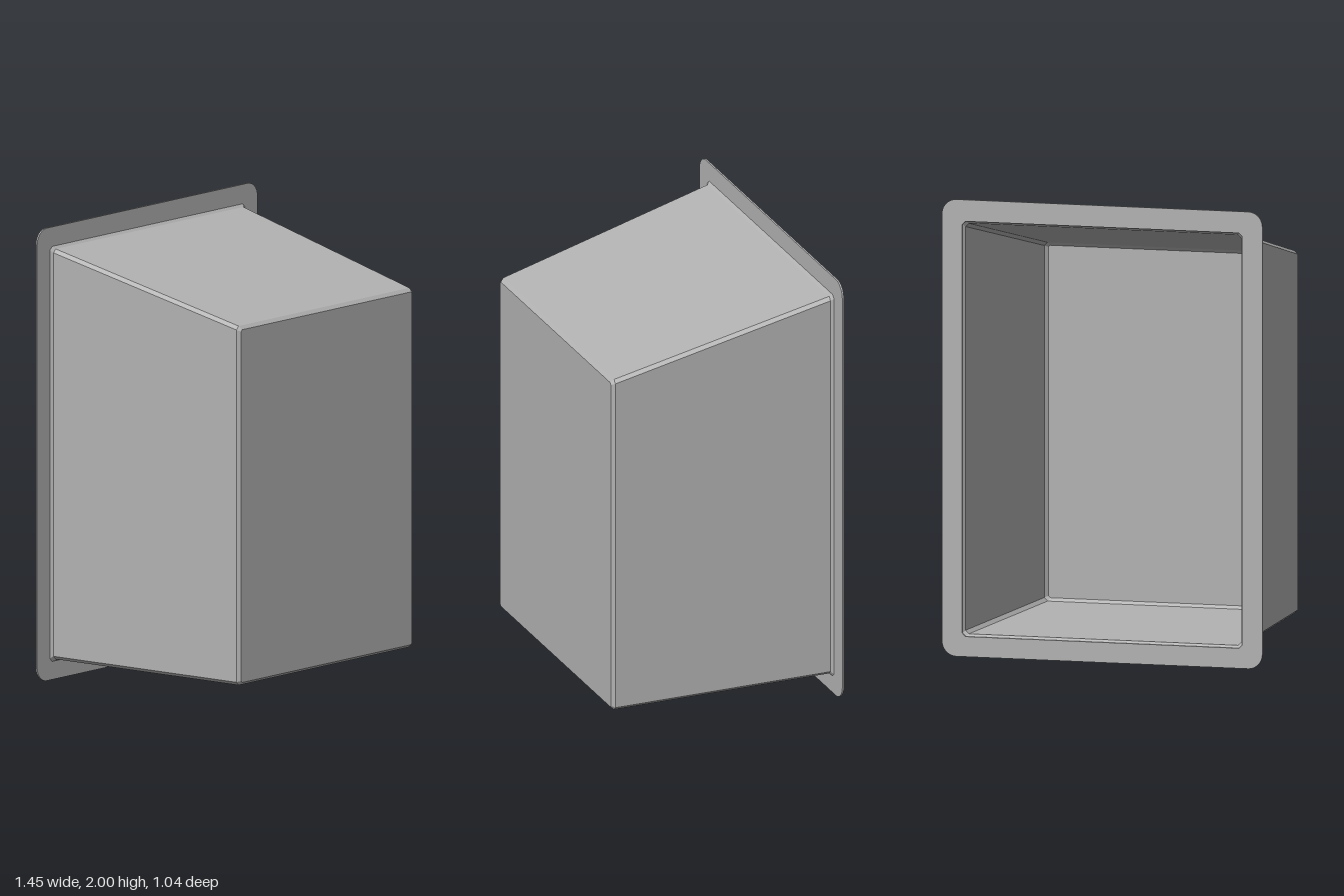
import * as THREE from 'three';

const WALL = 0.008;

// Chamfered rectangular cross-section, counter-clockwise seen from +z
function section(hw, y0, y1, c, z) {
  return [
    [hw, y0 + c], [hw, y1 - c], [hw - c, y1], [-hw + c, y1],
    [-hw, y1 - c], [-hw, y0 + c], [-hw + c, y0], [hw - c, y0],
  ].map(([x, y]) => new THREE.Vector3(x, y, z));
}

// Faceted shell through the sections, closed at the front end
function loft(sections, inward) {
  const pos = [];
  const tri = (a, b, c) => {
    for (const p of inward ? [a, c, b] : [a, b, c]) pos.push(p.x, p.y, p.z);
  };
  for (let i = 0; i < sections.length - 1; i++) {
    const back = sections[i], front = sections[i + 1];
    for (let j = 0; j < back.length; j++) {
      const k = (j + 1) % back.length;
      tri(back[j], back[k], front[k]);
      tri(back[j], front[k], front[j]);
    }
  }
  const cap = sections[sections.length - 1];
  for (let j = 1; j < cap.length - 1; j++) tri(cap[0], cap[j], cap[j + 1]);
  const geo = new THREE.BufferGeometry();
  geo.setAttribute('position', new THREE.Float32BufferAttribute(pos, 3));
  geo.computeVertexNormals();
  return geo;
}

function roundedRect(hw, h, r) {
  const s = new THREE.Shape();
  s.absarc(hw - r, r, r, -Math.PI / 2, 0);
  s.absarc(hw - r, h - r, r, 0, Math.PI / 2);
  s.absarc(-hw + r, h - r, r, Math.PI / 2, Math.PI);
  s.absarc(-hw + r, r, r, Math.PI, Math.PI * 1.5);
  s.closePath();
  return s;
}

export function createModel() {
  const group = new THREE.Group();
  const grey = new THREE.MeshStandardMaterial({ color: 0xb2b2b2 });
  grey.name = 'grey';
  const add = (name, geo) => {
    const mesh = new THREE.Mesh(geo, grey);
    mesh.name = name;
    group.add(mesh);
  };

  // Tapered box: flared rim, sloping top, bevelled front edges
  const shell = (t) => [
    section(0.642 - t, 0.08 + t, 1.914 - t, 0.015, -0.52 + WALL),
    section(0.632 - t, 0.09 + t, 1.903 - t, 0.015, -0.5),
    section(0.577 - t, 0.099 + t, 1.686 - t, 0.015, 0.505 - t),
    section(0.563 - t, 0.112 + t, 1.671 - t, 0.008, 0.52 - t),
  ];
  const outer = shell(0), inner = shell(WALL);
  add('outerShell', loft(outer, false));
  add('innerShell', loft(inner, true));

  // Thin mounting flange around the open back
  const frame = roundedRect(0.725, 2, 0.065);
  frame.holes.push(new THREE.Path(inner[0].map((p) => new THREE.Vector2(p.x, p.y)).reverse()));
  const flange = new THREE.ExtrudeGeometry(frame, { depth: WALL, bevelEnabled: false, curveSegments: 8 });
  flange.translate(0, 0, -0.52);
  add('flange', flange);

  return group;
}
